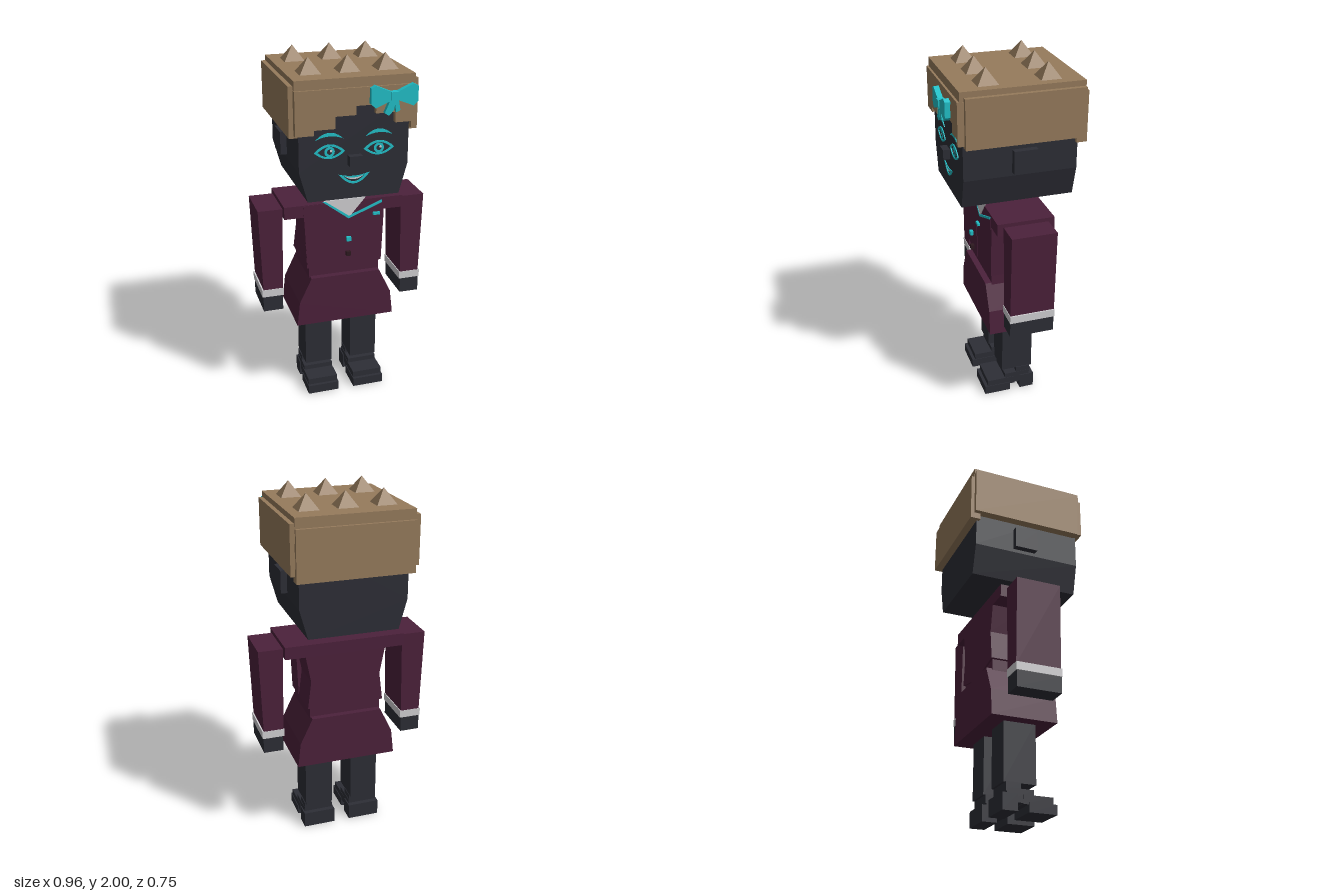
import * as THREE from 'three';

const mat = (name, color, extra = {}) => Object.assign(new THREE.MeshStandardMaterial({ color, ...extra }), { name });

export function createModel() {
  const skin = mat('charcoal', 0x2d2e36);
  const cloth = mat('plum', 0x4c213b);
  const hair = mat('tan', 0x967b5c);
  const teal = mat('teal', 0x22c1c9);
  const white = mat('white', 0xd2d1d4);
  const dark = mat('dark brown', 0x2e1a20);
  const root = new THREE.Group();

  const add = (name, geo, material, parent = root) => {
    const m = new THREE.Mesh(geo, material);
    m.name = name;
    parent.add(m);
    return m;
  };
  // Box given by its limits on each axis
  const box = (name, material, x0, x1, y0, y1, z0, z1, parent) => {
    const g = new THREE.BoxGeometry(x1 - x0, y1 - y0, z1 - z0);
    g.translate((x0 + x1) / 2, (y0 + y1) / 2, (z0 + z1) / 2);
    return add(name, g, material, parent);
  };
  // Front outline extruded from z0 to z1
  const vecs = pts => pts.map(p => new THREE.Vector2(p[0], p[1]));
  const prism = (name, material, pts, z0, z1, hole, parent) => {
    const s = new THREE.Shape(vecs(pts));
    if (hole) s.holes.push(new THREE.Path(vecs(hole)));
    const g = new THREE.ExtrudeGeometry(s, { depth: z1 - z0, bevelEnabled: false });
    g.translate(0, 0, z0);
    return add(name, g, material, parent);
  };
  // Completes a right-half outline with its mirror image
  const both = half => [...half, ...half.map(([x, y]) => [-x, y]).reverse()];
  // Outline between two arcs that share end points
  const lens = (cx, cy, w, up, low, n = 12) => {
    const pts = [];
    for (let i = 0; i <= n; i++) {
      const t = -1 + 2 * i / n;
      pts.push([cx + w * t, cy + low * (1 - t * t)]);
    }
    for (let i = n - 1; i > 0; i--) {
      const t = -1 + 2 * i / n;
      pts.push([cx + w * t, cy + up * (1 - t * t)]);
    }
    return pts;
  };

  // Head, neck, nose and ears
  prism('head', skin, both([[0.25, 1.275], [0.295, 1.44], [0.295, 1.8]]), -0.335, 0.28);
  box('neck', skin, -0.08, 0.08, 1.17, 1.29, -0.13, 0.04);
  box('nose', skin, -0.035, 0.035, 1.46, 1.515, 0.27, 0.318);
  for (const s of [-1, 1])
    box('ear', skin, s * 0.31 - 0.02, s * 0.31 + 0.02, 1.46, 1.585, -0.11, 0.02);

  // Hair: cap, side and back panels, stepped fringe
  box('hairCap', hair, -0.318, 0.318, 1.625, 1.92, -0.36, 0.27);
  box('hairTop', hair, -0.317, 0.317, 1.87, 1.92, -0.358, 0.298);
  box('hairBack', hair, -0.317, 0.317, 1.59, 1.865, -0.377, -0.32);
  for (const s of [-1, 1])
    box('hairSide', hair, s * 0.32 - 0.022, s * 0.32 + 0.022, 1.625, 1.89, -0.357, 0.275);
  prism('fringe', hair, [
    [-0.318, 1.87], [-0.318, 1.64], [-0.22, 1.64], [-0.22, 1.667], [-0.108, 1.667], [-0.108, 1.73],
    [0, 1.73], [0, 1.777], [0.105, 1.777], [0.105, 1.73], [0.21, 1.73], [0.21, 1.675],
    [0.295, 1.675], [0.295, 1.64], [0.318, 1.64], [0.318, 1.87],
  ], 0.27, 0.31);
  for (const x of [-0.203, 0.004, 0.211])
    for (const z of [-0.194, 0.135]) {
      const g = new THREE.ConeGeometry(0.055 * Math.SQRT2, 0.08, 4, 1).toNonIndexed();
      g.rotateY(Math.PI / 4);
      g.computeVertexNormals();
      add('hairSpike', g, hair).position.set(x, 1.96, z);
    }

  // Face details
  for (const s of [-1, 1]) {
    const x = s * 0.133, y = 1.54;
    prism('eyeOutline', teal, lens(x, y, 0.083, 0.04, -0.037), 0.28, 0.285, lens(x, y, 0.064, 0.029, -0.028));
    const disc = (name, m, r, dx, dy, z) =>
      add(name, new THREE.CircleGeometry(r, 16), m).position.set(x + dx, y + dy, z);
    disc('iris', teal, 0.028, 0, 0, 0.283);
    disc('pupil', skin, 0.014, 0, 0, 0.285);
    disc('eyeGlint', white, 0.007, 0.007, 0.006, 0.287);
    prism('eyebrow', teal, lens(x, 1.607, 0.073, 0.034, 0.016), 0.28, 0.285);
  }
  prism('lips', teal, lens(0, 1.412, 0.084, -0.014, -0.055), 0.28, 0.285, lens(0, 1.402, 0.058, -0.012, -0.034));
  prism('teeth', white, lens(0, 1.402, 0.056, -0.011, -0.022), 0.28, 0.284);

  // Bow on the hair
  const bow = new THREE.Group();
  bow.name = 'bow';
  bow.position.set(0.183, 1.828, 0);
  root.add(bow);
  for (const s of [-1, 1]) {
    prism('bowWing', teal, [[0, 0.015], [s * 0.1, 0.058], [s * 0.124, 0.045], [s * 0.124, -0.035],
      [s * 0.1, -0.055], [0, -0.015]], 0.34, 0.368, null, bow);
  }
  prism('bowTail', teal, [[-0.015, 0], [-0.052, -0.085], [-0.03, -0.098], [-0.005, -0.075], [0.012, 0]], 0.342, 0.365, null, bow);
  prism('bowTail', teal, [[-0.005, 0], [0.01, -0.085], [0.032, -0.075], [0.018, 0]], 0.342, 0.363, null, bow);
  box('bowKnot', teal, -0.02, 0.02, -0.02, 0.022, 0.336, 0.374, bow);
  box('bowPin', teal, -0.009, 0.009, -0.009, 0.009, 0.3, 0.34, bow);

  // Jacket: straight front, waisted back
  const top = [[0.227, 1.12], [0.34, 1.12], [0.34, 1.19]];
  prism('jacketFront', cloth, both([[0.04, 0.775], [0.218, 0.81], [0.23, 1.11], ...top]), -0.02, 0.113);
  prism('jacketBack', cloth, both([[0.04, 0.775], [0.218, 0.81], [0.198, 0.97], ...top]), -0.205, -0.02);
  box('waist', cloth, -0.205, 0.205, 0.74, 0.82, -0.195, 0.105);
  prism('jacketFlap', cloth, [[-0.235, 1.188], [-0.12, 1.188], [0.025, 1.09], [0.22, 1.17], [0.22, 1.1],
    [-0.05, 1.015], [-0.05, 0.79], [-0.216, 0.815]], 0.11, 0.116);

  // Shirt collar, piping, badge and buttons
  prism('shirt', white, [[-0.12, 1.205], [0.025, 1.095], [0.12, 1.205]], 0.11, 0.118);
  prism('lapelPiping', teal, [[-0.125, 1.2], [0.022, 1.088], [0.215, 1.163], [0.215, 1.177],
    [0.025, 1.103], [-0.108, 1.2]], 0.113, 0.12);
  box('badge', teal, 0.147, 0.185, 1.116, 1.13, 0.163, 0.177);
  box('upperButton', teal, -0.004, 0.022, 0.974, 0.998, 0.155, 0.173);
  box('lowerButton', dark, -0.004, 0.022, 0.883, 0.908, 0.15, 0.17);

  // Skirt
  prism('skirt', cloth, both([[0.286, 0.467], [0.27, 0.61], [0.2, 0.755]]), -0.228, 0.14);

  // Arms and legs, one per side
  for (const s of [-1, 1]) {
    const side = (name, m, x0, x1, y0, y1, z0, z1) =>
      box(name, m, Math.min(s * x0, s * x1), Math.max(s * x0, s * x1), y0, y1, z0, z1);
    prism('sleeve', cloth, [[s * 0.342, 1.17], [s * 0.479, 1.17], [s * 0.463, 0.68], [s * 0.352, 0.68]], -0.17, 0.08);
    side('cuff', white, 0.347, 0.471, 0.648, 0.692, -0.172, 0.083);
    side('hand', skin, 0.354, 0.466, 0.558, 0.65, -0.168, 0.081);
    side('leg', skin, 0.058, 0.217, 0.145, 0.48, -0.135, 0.046);
    side('shoeAnkle', skin, 0.055, 0.222, 0.1, 0.148, -0.122, -0.04);
    side('shoeInstep', skin, 0.052, 0.224, 0.045, 0.116, -0.118, 0.03);
    side('shoeUpper', skin, 0.05, 0.226, 0.04, 0.088, -0.03, 0.137);
    side('shoeToe', skin, 0.046, 0.23, 0, 0.052, 0, 0.155);
    side('shoeHeel', skin, 0.046, 0.23, 0, 0.09, -0.145, -0.06);
  }
  return root;
}
